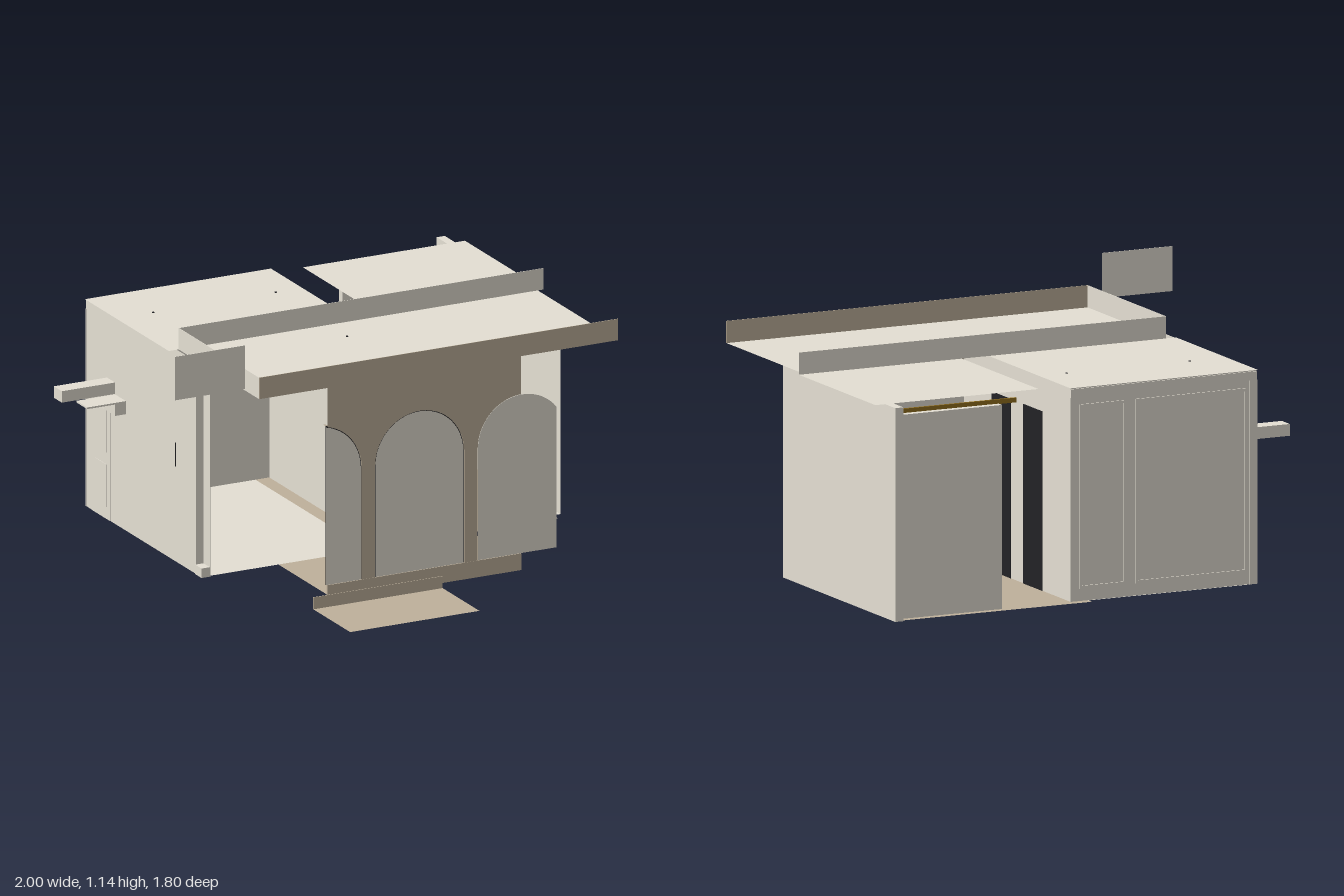
import * as THREE from 'three';

const paint = (name, color) => {
  const m = new THREE.MeshStandardMaterial({ color, side: THREE.DoubleSide });
  m.name = name;
  return m;
};

export function createModel() {
  const model = new THREE.Group();
  const plaster = paint('pale plaster', 0xe6e1d5);
  const stone = paint('tan stone', 0xc0b29c);
  const black = paint('black frame', 0x222226);
  const gold = paint('dull gold', 0x94701f);

  const add = (name, geo, mat) => {
    const mesh = new THREE.Mesh(geo, mat);
    mesh.name = name;
    model.add(mesh);
    return mesh;
  };

  // Box from its limits; skipped faces: 0 +x, 1 -x, 2 +y, 3 -y, 4 +z, 5 -z
  const box = (name, mat, x0, x1, y0, y1, z0, z1, skip = []) => {
    const g = new THREE.BoxGeometry(x1 - x0, y1 - y0, z1 - z0);
    g.translate((x0 + x1) / 2, (y0 + y1) / 2, (z0 + z1) / 2);
    const index = Array.from(g.index.array);
    g.setIndex(index.filter((v, i) => !skip.includes(Math.floor(i / 6))));
    g.clearGroups();
    return add(name, g, mat);
  };
  // Flat horizontal sheet
  const sheet = (name, mat, x0, x1, y, z0, z1) => {
    const g = new THREE.PlaneGeometry(x1 - x0, z1 - z0).rotateX(-Math.PI / 2);
    g.translate((x0 + x1) / 2, y, (z0 + z1) / 2);
    return add(name, g, mat);
  };

  // ---- Floors and steps ----
  sheet('mainFloor', stone, 0.07, 0.92, 0.05, -0.885, 0.15);
  sheet('roomFloor', plaster, -0.68, 0.07, 0.05, -0.855, 0.15);
  sheet('porchFloor', stone, -0.335, 0.535, 0.05, 0.15, 0.57);
  sheet('frontLanding', stone, -0.4, 0.18, 0, 0.58, 0.9);
  box('landingRiser', stone, -0.4, 0.18, 0, 0.05, 0.577, 0.58);
  box('facadeBase', stone, -0.335, 0.18, 0.045, 0.09, 0.57, 0.576);
  box('facadeBase', stone, 0.18, 0.535, 0.02, 0.09, 0.57, 0.576);

  // ---- Arched facade ----
  const LO = -0.335, HI = 0.535, SPRING = 0.56, R = 0.2;
  const centres = [0.54, 0.08, -0.38];
  // Arch from its right foot to its left foot, cut off at x = lo and x = hi
  const archPoints = (cx, r, foot, lo, hi, cutLegs) => {
    const cutR = cx + r > hi, cutL = cx - r < lo;
    const a0 = cutR ? Math.acos((hi - cx) / r) : 0;
    const a1 = cutL ? Math.acos((lo - cx) / r) : Math.PI;
    const pts = [];
    for (let i = 0; i <= 24; i++) {
      const a = a0 + ((a1 - a0) * i) / 24;
      pts.push(new THREE.Vector2(cx + r * Math.cos(a), SPRING + r * Math.sin(a)));
    }
    if (!cutR || cutLegs) pts.unshift(new THREE.Vector2(pts[0].x, foot));
    if (!cutL || cutLegs) pts.push(new THREE.Vector2(pts[pts.length - 1].x, foot));
    return pts;
  };
  // Band that follows a line of points, from depth z0 to z1
  const band = (name, mat, pts, z0, z1) => {
    const g = new THREE.PlaneGeometry(1, 1, pts.length - 1, 1);
    const p = g.attributes.position, n = pts.length;
    for (let i = 0; i < p.count; i++) p.setXYZ(i, pts[i % n].x, pts[i % n].y, i < n ? z1 : z0);
    g.computeVertexNormals();
    return add(name, g, mat);
  };

  const outline = [new THREE.Vector2(LO, 0.92), new THREE.Vector2(HI, 0.92)];
  for (const cx of centres) {
    const pts = archPoints(cx, R, 0.09, LO, HI, false);
    outline.push(...pts);
    band('archReveal', stone, pts, 0.535, 0.575);
  }
  add('archedFacade', new THREE.ShapeGeometry(new THREE.Shape(outline)), stone).position.z = 0.575;
  // Wider inner arch behind the middle opening
  band('innerArch', plaster, archPoints(0.08, 0.28, 0.09, -1, 1, false), 0.507, 0.532);

  // Panels filling the arches
  const limits = [[0.3, 0.695], [-0.2, 0.4], [-0.34, 0]];
  centres.forEach((cx, i) => {
    const [lo, hi] = limits[i];
    const pts = archPoints(cx, 0.197, 0.09, lo, hi, true);
    add('archPanel', new THREE.ShapeGeometry(new THREE.Shape(pts)), plaster).position.z = 0.572;
    if (i > 0) {
      // dark gap round the edge of the panel
      const rim = new THREE.Shape(archPoints(cx, 0.203, 0.09, lo, hi, true));
      rim.holes.push(new THREE.Path(archPoints(cx, 0.196, 0.091, lo + 0.001, hi, true)));
      add('archShadowGap', new THREE.ShapeGeometry(rim), black).position.z = 0.5705;
    }
  });

  // ---- Roofs and parapets ----
  sheet('frontRoof', plaster, -0.64, 0.97, 0.92, -0.125, 0.574);
  sheet('leftRoof', plaster, -0.685, 0.15, 0.92, -0.855, -0.125);
  sheet('rightRoof', plaster, 0.27, 0.997, 0.92, -0.81, -0.125);
  box('frontParapet', stone, -0.64, 0.97, 0.92, 1.01, 0.573, 0.576);
  box('backParapet', plaster, -0.64, 0.995, 0.92, 1.01, -0.126, -0.124);
  box('sideParapet', plaster, -0.641, -0.639, 0.92, 1.01, -0.125, 0.574);
  for (const x of [-0.52, 0.03]) for (const z of [-0.58, 0.04]) {
    const spot = new THREE.CylinderGeometry(0.005, 0.005, 0.003, 10);
    spot.translate(x, 0.921, z);
    add('roofSpot', spot, black);
  }

  // ---- Closed room on the -x side, open to the front ----
  box('roomSideWall', plaster, -0.681, -0.648, 0.05, 0.919, -0.85, 0.105, [2]);
  box('roomBackWall', plaster, -0.681, 0.147, 0.05, 0.919, -0.85, -0.835);
  box('roomInnerWall', plaster, 0.132, 0.147, 0.05, 0.919, -0.85, 0.1);
  box('wallFoot', plaster, -0.685, -0.645, 0.05, 0.09, 0.105, 0.16);
  box('frontJamb', plaster, -0.648, -0.645, 0.05, 0.919, 0.105, 0.162);
  // Black glazed doors in the inner wall
  for (const z of [-0.32, -0.6]) box('blackDoor', black, 0.147, 0.15, 0.05, 0.78, z, z + 0.17);
  // Gridded window with its curtain box and rail
  const win = { x0: -0.61, x1: -0.325, y0: 0.35, y1: 0.71 };
  for (let i = 0; i <= 3; i++) {
    const x = win.x0 + ((win.x1 - win.x0) * i) / 3;
    box('windowBar', black, x - 0.007, x + 0.007, win.y0, win.y1, -0.835, -0.829);
  }
  for (let i = 0; i <= 5; i++) {
    const y = win.y0 + ((win.y1 - win.y0) * i) / 5;
    box('windowBar', black, win.x0 - 0.007, win.x1 + 0.007, y - 0.005, y + 0.005, -0.835, -0.828);
  }
  box('curtainBox', plaster, -0.615, -0.3, 0.82, 0.88, -0.835, -0.815);
  box('curtainRail', gold, -0.615, -0.3, 0.88, 0.896, -0.83, -0.815);

  // Raised frames on the outside of the back wall
  const backFrame = (x0, x1, y0, y1) => {
    const w = 0.012, z0 = -0.855, z1 = -0.85;
    box('backFrame', plaster, x0, x0 + w, y0, y1, z0, z1);
    box('backFrame', plaster, x1 - w, x1, y0, y1, z0, z1);
    box('backFrame', plaster, x0 + w, x1 - w, y1 - w, y1, z0, z1);
    box('backFrame', plaster, x0 + w, x1 - w, y0, y0 + w, z0, z1);
  };
  backFrame(-0.64, -0.14, 0.1, 0.85);
  backFrame(-0.1, 0.11, 0.1, 0.85);
  box('cornice', plaster, -0.681, 0.147, 0.88, 0.915, -0.855, -0.85);
  box('cornerPost', plaster, -0.683, -0.65, 0.05, 0.88, -0.855, -0.85);

  // Side door, slit and wall brackets
  box('sideDoor', plaster, -0.683, -0.681, 0.05, 0.56, -0.8, -0.64);
  for (const y of [0.1, 0.33]) box('doorPanel', plaster, -0.685, -0.683, y, y + 0.18, -0.77, -0.67);
  box('sideSlit', black, -0.684, -0.681, 0.45, 0.55, -0.075, -0.068);
  box('wallBeam', plaster, -0.92, -0.681, 0.597, 0.645, -0.67, -0.6);
  box('wallShelf', plaster, -0.855, -0.681, 0.588, 0.595, -0.6, -0.505);
  box('shelfBracket', plaster, -0.73, -0.681, 0.54, 0.588, -0.6, -0.505);

  // ---- Wing on the +x side ----
  box('outerWall', plaster, 0.917, 0.953, 0.05, 0.92, -0.9, 0.105, [4]);
  box('backPanel', plaster, 0.455, 0.915, 0.05, 0.88, -0.855, -0.825);
  box('wingRail', gold, 0.375, 0.912, 0.878, 0.897, -0.824, -0.814);
  box('railBracket', plaster, 0.5, 0.58, 0.82, 0.84, -0.825, -0.815);

  // ---- Free-standing sign plate ----
  box('signPlate', plaster, -1, -0.687, 0.96, 1.143, 0.539, 0.541);

  return model;
}
